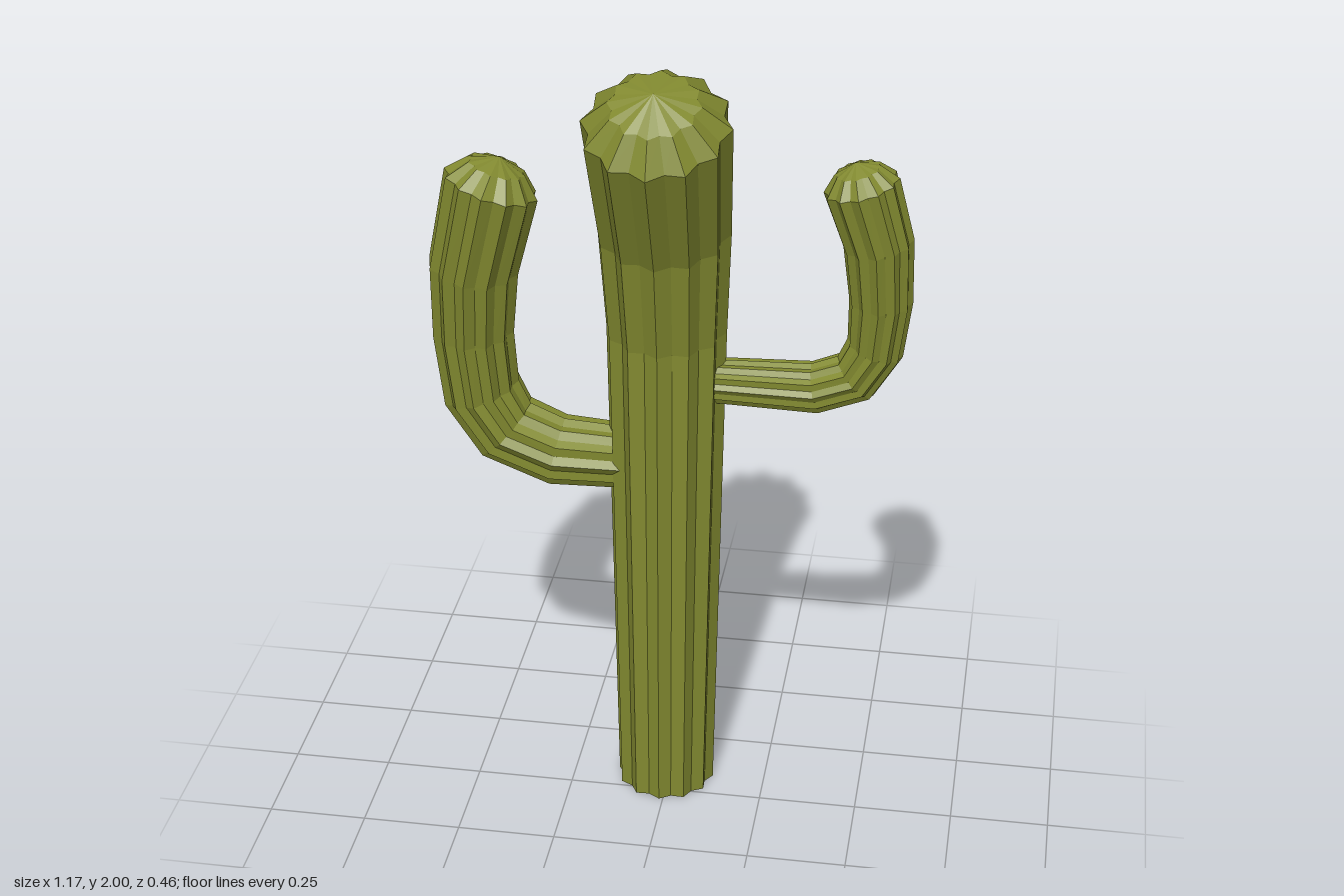
import * as THREE from 'three';

const RIBS = 12;

// Ribbed tube through stations [x, y, z, radius], closed by a domed cap ending at apex
function ribbedTube(stations, apex, ref) {
  const centres = stations.map(([x, y, z]) => new THREE.Vector3(x, y, z));
  const tip = new THREE.Vector3(...apex);
  const last = centres.length - 1;
  const rings = centres.map((c, i) => {
    const dir = new THREE.Vector3();
    if (i === last) dir.subVectors(tip, c).normalize();
    else {
      dir.subVectors(centres[i + 1], c).normalize();
      if (i > 0) dir.add(c.clone().sub(centres[i - 1]).normalize()).normalize();
    }
    return { c, dir, r: stations[i][3] };
  });
  // shoulder ring of the dome, then the tip
  const end = rings[last];
  rings.push({ c: end.c.clone().lerp(tip, 0.65), dir: end.dir, r: end.r * 0.62 });
  rings.push({ c: tip, dir: end.dir, r: 0.0001 });

  const n = RIBS * 2;
  const positions = [], index = [];
  rings.forEach(({ c, dir, r }) => {
    const u = ref.clone().addScaledVector(dir, -ref.dot(dir)).normalize();
    const w = dir.clone().cross(u);
    for (let j = 0; j < n; j++) {
      const a = (j / n) * Math.PI * 2;
      const rad = r * (j % 2 ? 0.885 : 1); // groove or ridge
      const p = c.clone().addScaledVector(u, Math.cos(a) * rad).addScaledVector(w, Math.sin(a) * rad);
      positions.push(p.x, p.y, p.z);
    }
  });
  for (let i = 0; i < rings.length - 1; i++) {
    for (let j = 0; j < n; j++) {
      const k = (j + 1) % n;
      const a = i * n + j, b = i * n + k, c = b + n, d = a + n;
      index.push(a, b, c, a, c, d);
    }
  }
  const geo = new THREE.BufferGeometry();
  geo.setAttribute('position', new THREE.Float32BufferAttribute(positions, 3));
  geo.setIndex(index);
  geo.computeVertexNormals();
  return geo;
}

export function createModel() {
  const group = new THREE.Group();
  group.name = 'cactus';
  const green = new THREE.MeshStandardMaterial({ color: 0x828a30, flatShading: true, side: THREE.DoubleSide });
  green.name = 'cactusGreen';

  const add = (name, stations, apex, ref) => {
    const mesh = new THREE.Mesh(ribbedTube(stations, apex, ref), green);
    mesh.name = name;
    group.add(mesh);
  };
  const X = new THREE.Vector3(1, 0, 0), Z = new THREE.Vector3(0, 0, 1);

  // Trunk, leaning forward at the top, open underneath
  add('trunk', [
    [-0.01, 0, -0.08, 0.125],
    [-0.01, 1.31, -0.08, 0.148],
    [-0.01, 1.585, -0.045, 0.161],
    [-0.01, 1.895, 0.07, 0.177],
  ], [-0.01, 1.986, 0.112], X);

  // Thick lower arm
  add('rightArm', [
    [-0.08, 0.95, -0.08, 0.08],
    [-0.285, 0.95, -0.087, 0.09],
    [-0.415, 1.005, -0.085, 0.095],
    [-0.475, 1.11, -0.08, 0.1],
    [-0.487, 1.28, -0.065, 0.102],
    [-0.475, 1.46, -0.045, 0.11],
    [-0.42, 1.685, -0.02, 0.117],
  ], [-0.398, 1.755, -0.025], Z);

  // Thin upper arm
  add('leftArm', [
    [0.06, 1.18, -0.08, 0.055],
    [0.355, 1.178, -0.085, 0.064],
    [0.452, 1.218, -0.082, 0.067],
    [0.497, 1.3, -0.078, 0.07],
    [0.507, 1.43, -0.067, 0.076],
    [0.497, 1.585, -0.052, 0.084],
    [0.453, 1.735, -0.035, 0.091],
  ], [0.438, 1.792, -0.032], Z);

  return group;
}
